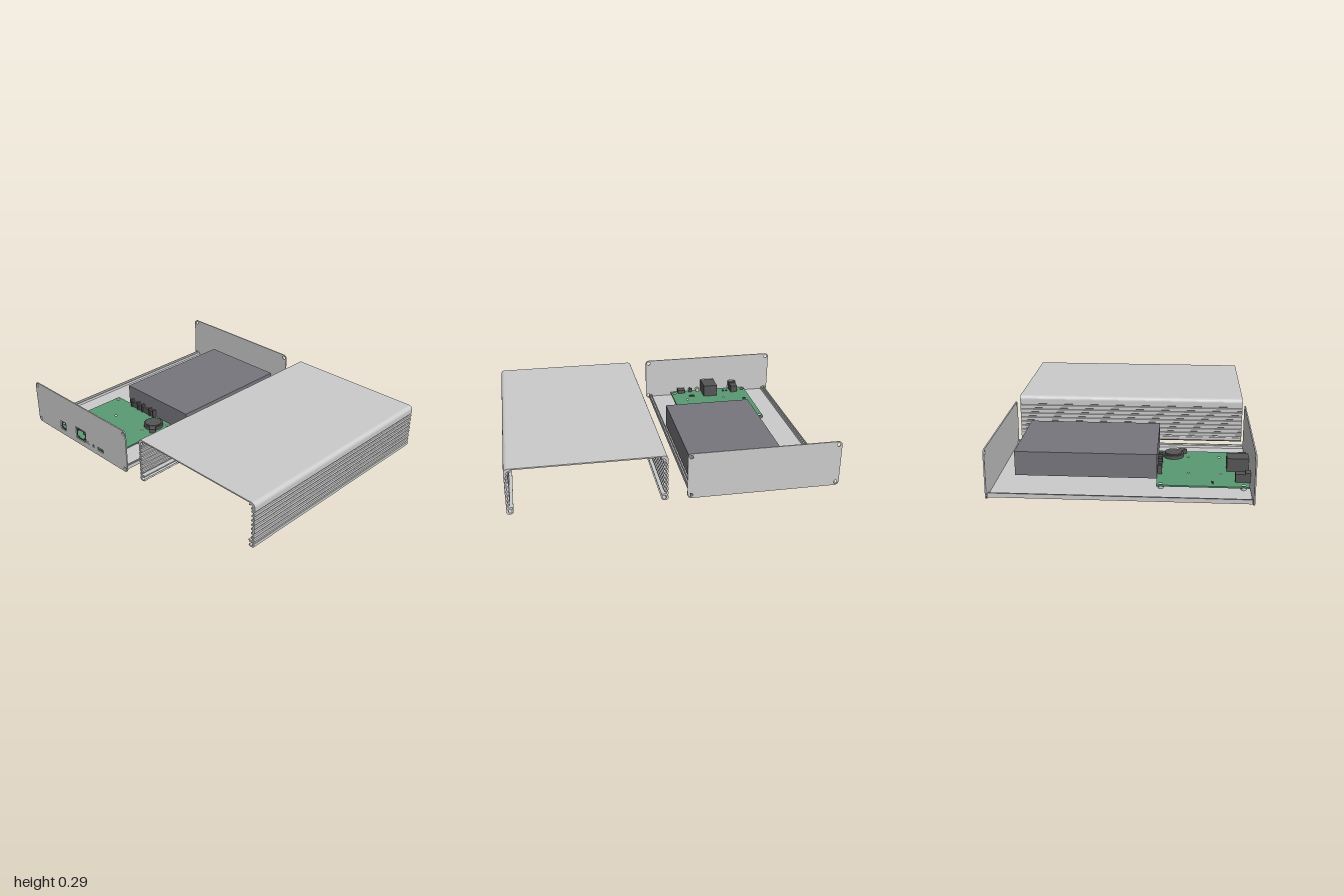
import * as THREE from 'three';

const mat = (color) => new THREE.MeshStandardMaterial({ color });
const GREY = mat(0xcccccc), DRIVE = mat(0x77767c), DARK = mat(0x555555), GREEN = mat(0x5a9a74), PALE = mat(0xddd8b8);

function add(parent, name, geometry, material, x = 0, y = 0, z = 0) {
  const mesh = new THREE.Mesh(geometry, material);
  mesh.name = name;
  mesh.position.set(x, y, z);
  parent.add(mesh);
  return mesh;
}

// Box given by its limits on each axis
function block(parent, name, material, x0, x1, y0, y1, z0, z1) {
  return add(parent, name, new THREE.BoxGeometry(x1 - x0, y1 - y0, z1 - z0), material,
    (x0 + x1) / 2, (y0 + y1) / 2, (z0 + z1) / 2);
}

const extrude = (shape, depth) => new THREE.ExtrudeGeometry(shape, { depth, bevelEnabled: false, curveSegments: 10 });

function circleHole(x, y, r) {
  return new THREE.Path().absarc(x, y, r, 0, Math.PI * 2, true);
}

function rectPath(PathType, x0, x1, y0, y1) {
  return new PathType([[x0, y0], [x0, y1], [x1, y1], [x1, y0]].map((p) => new THREE.Vector2(...p)));
}

// Rounded end plate with four corner screw holes
function panelShape() {
  const x0 = -1, x1 = -0.06, h = 0.295, r = 0.024, s = new THREE.Shape();
  s.absarc(x1 - r, r, r, -Math.PI / 2, 0);
  s.absarc(x1 - r, h - r, r, 0, Math.PI / 2);
  s.absarc(x0 + r, h - r, r, Math.PI / 2, Math.PI);
  s.absarc(x0 + r, r, r, Math.PI, Math.PI * 1.5);
  s.closePath();
  for (const x of [x0 + 0.021, x1 - 0.021])
    for (const y of [0.021, h - 0.021]) s.holes.push(circleHole(x, y, 0.012));
  return s;
}

// Cover section: grooved outside, ribbed inside, symmetric about x = 0
function coverShape() {
  const half = 0.47, h = 0.295, r = 0.025, side = [];
  for (let i = 0; i < 9; i++) {
    const y = 0.035 + i * 0.0288;
    if (y > h - r - 0.008) break;
    side.push([half, y - 0.006], [half - 0.006, y - 0.003], [half - 0.006, y + 0.003], [half, y + 0.006]);
  }
  const outer = [[half - 0.01, 0], [half, 0.01], ...side];
  for (let i = 0; i <= 6; i++) {
    const a = (i / 6) * Math.PI / 2;
    outer.push([half - r + r * Math.cos(a), h - r + r * Math.sin(a)]);
  }
  const inner = [[half - 0.035, h - 0.008], [half - 0.012, h - 0.03]];
  for (let i = 7; i >= 1; i--) {
    const y = 0.0494 + (i - 0.5) * 0.0288;
    inner.push([half - 0.012, y + 0.005], [half - 0.024, y + 0.005], [half - 0.024, y - 0.005], [half - 0.012, y - 0.005]);
  }
  inner.push([half - 0.012, 0]);
  const flip = (pts) => pts.map(([x, y]) => [-x, y]).reverse();
  const all = [...outer, ...flip(outer), ...flip(inner), ...inner];
  return new THREE.Shape(all.map((p) => new THREE.Vector2(...p)));
}

// C-shaped screw channel, opening toward the given angle
function channelShape(angle) {
  const s = new THREE.Shape();
  s.absarc(0, 0, 0.021, angle + 0.6, angle + Math.PI * 2 - 0.6, false);
  s.absarc(0, 0, 0.012, angle + Math.PI * 2 - 0.6, angle + 0.6, true);
  s.closePath();
  return s;
}

function buildCover() {
  const cover = new THREE.Group();
  cover.name = 'cover';
  cover.position.set(0.525, 0, -0.748);
  const length = 1.488;
  add(cover, 'coverShell', extrude(coverShape(), length), GREY);
  for (const s of [-1, 1]) {
    const inward = s > 0 ? Math.PI : 0;
    add(cover, 'upperScrewChannel', extrude(channelShape(inward + s * 0.6), length), GREY, s * 0.448, 0.272);
    add(cover, 'lowerScrewChannel', extrude(channelShape(inward), length), GREY, s * 0.448, 0.022);
    add(cover, 'guideFlange', new THREE.BoxGeometry(0.03, 0.006, length), GREY, s * 0.444, 0.042, length / 2);
  }
  return cover;
}

function buildTray() {
  const tray = new THREE.Group();
  tray.name = 'baseTray';
  // Floor with a raised edge and rail down each long side
  const half = [[0, 0.003], [0.422, 0.003], [0.426, 0.009], [0.434, 0.009], [0.437, 0.003], [0.448, 0.006],
    [0.448, 0.032], [0.442, 0.032], [0.442, 0.018], [0.431, 0.018], [0.431, 0.027], [0.425, 0.027], [0.422, 0.012], [0, 0.012]];
  const pts = [...half, ...half.slice(1, -1).reverse().map(([x, y]) => [-x, y])];
  const shape = new THREE.Shape(pts.map((p) => new THREE.Vector2(...p)));
  add(tray, 'trayFloor', extrude(shape, 1.482), GREY, -0.53, 0, -0.742);
  return tray;
}

function buildBoard() {
  const board = new THREE.Group();
  board.name = 'circuitBoard';
  const corners = [[-0.79, 0.225], [-0.27, 0.225], [-0.79, 0.7], [-0.27, 0.7]];
  const inner = [[-0.62, 0.385], [-0.345, 0.385], [-0.62, 0.575], [-0.345, 0.575]];

  // Board lies flat: shape y maps to -z
  const s = rectPath(THREE.Shape, -0.812, -0.247, -0.735, -0.2);
  for (const [x, z] of corners) s.holes.push(circleHole(x, -z, 0.012));
  for (const [x, z] of inner) s.holes.push(circleHole(x, -z, 0.008));
  add(board, 'boardPlate', extrude(s, 0.009), GREEN, 0, 0.028, 0).rotation.x = -Math.PI / 2;
  for (const [x, z] of corners)
    add(board, 'standoff', new THREE.CylinderGeometry(0.016, 0.016, 0.016, 12), GREY, x, 0.02, z);

  // Power jack: square shell with a round socket and pin
  const jack = rectPath(THREE.Shape, -0.745, -0.692, 0.037, 0.095);
  jack.holes.push(circleHole(-0.7185, 0.066, 0.018));
  add(board, 'powerJackFront', extrude(jack, 0.03), DARK, 0, 0, 0.712);
  block(board, 'powerJackBody', DARK, -0.742, -0.695, 0.037, 0.085, 0.655, 0.712);
  add(board, 'powerJackPin', new THREE.CylinderGeometry(0.006, 0.006, 0.026, 10), GREY, -0.7185, 0.066, 0.724).rotation.x = Math.PI / 2;

  // Network socket: shell with a stepped opening
  const port = rectPath(THREE.Shape, -0.575, -0.477, 0.037, 0.118);
  port.holes.push(new THREE.Path([[-0.565, 0.055], [-0.565, 0.105], [-0.487, 0.105], [-0.487, 0.055],
    [-0.505, 0.055], [-0.505, 0.045], [-0.547, 0.045], [-0.547, 0.055]].map((p) => new THREE.Vector2(...p))));
  add(board, 'networkSocketFront', extrude(port, 0.05), DARK, 0, 0, 0.695);
  block(board, 'networkSocketBody', DARK, -0.575, -0.477, 0.037, 0.118, 0.613, 0.695);

  // Small connector: hollow shell with tongue
  const usb = rectPath(THREE.Shape, -0.35, -0.297, 0.038, 0.06);
  usb.holes.push(rectPath(THREE.Path, -0.346, -0.301, 0.042, 0.056));
  add(board, 'smallConnectorShell', extrude(usb, 0.03), DARK, 0, 0, 0.715);
  block(board, 'smallConnectorBody', DARK, -0.35, -0.297, 0.037, 0.06, 0.695, 0.715);
  block(board, 'smallConnectorTongue', DARK, -0.34, -0.307, 0.047, 0.051, 0.715, 0.738);

  // Indicator light and push button
  for (const [name, x, m] of [['indicatorLight', -0.45, PALE], ['pushButton', -0.395, DARK]]) {
    block(board, name + 'Base', m, x - 0.012, x + 0.012, 0.037, 0.06, 0.712, 0.728);
    add(board, name, new THREE.CylinderGeometry(0.008, 0.008, 0.02, 12), m, x, 0.049, 0.738).rotation.x = Math.PI / 2;
  }

  // Drive connector with raised keys
  block(board, 'driveConnector', DARK, -0.645, -0.41, 0.037, 0.078, 0.204, 0.22);
  for (const x of [-0.64, -0.575, -0.53, -0.455, -0.415])
    block(board, 'connectorKey', DARK, x - 0.006, x + 0.006, 0.037, 0.092, 0.202, 0.228);

  // Coin cell in its holder
  add(board, 'batteryHolder', new THREE.CylinderGeometry(0.064, 0.064, 0.022, 32), DARK, -0.335, 0.048, 0.292);
  add(board, 'coinCell', new THREE.CylinderGeometry(0.054, 0.054, 0.008, 32), DARK, -0.335, 0.063, 0.292);
  const clip = add(board, 'batteryClip', new THREE.BoxGeometry(0.055, 0.028, 0.04), DARK, -0.285, 0.051, 0.342);
  clip.rotation.y = -Math.PI / 4;

  // Surface-mounted pieces
  for (const [x, z, w, d] of [[-0.387, 0.63, 0.04, 0.014], [-0.762, 0.524, 0.022, 0.01],
    [-0.668, 0.685, 0.01, 0.012], [-0.643, 0.685, 0.01, 0.012]])
    block(board, 'boardChip', DARK, x - w / 2, x + w / 2, 0.037, 0.046, z - d / 2, z + d / 2);
  return board;
}

export function createModel() {
  const model = new THREE.Group();
  model.name = 'openedEnclosure';
  model.add(buildCover(), buildTray(), buildBoard());
  block(model, 'storageDrive', DRIVE, -0.69, -0.11, 0.027, 0.176, -0.642, 0.2);

  // End panels, the front one cut for the connectors
  const front = panelShape();
  for (const r of [[-0.747, -0.69, 0.036, 0.097], [-0.577, -0.475, 0.036, 0.12], [-0.352, -0.295, 0.036, 0.062]])
    front.holes.push(rectPath(THREE.Path, ...r));
  for (const x of [-0.45, -0.395]) front.holes.push(circleHole(x, 0.049, 0.011));
  add(model, 'frontPanel', extrude(front, 0.008), GREY, 0, 0, 0.742);
  add(model, 'backPanel', extrude(panelShape(), 0.008), GREY, 0, 0, -0.75);
  return model;
}
